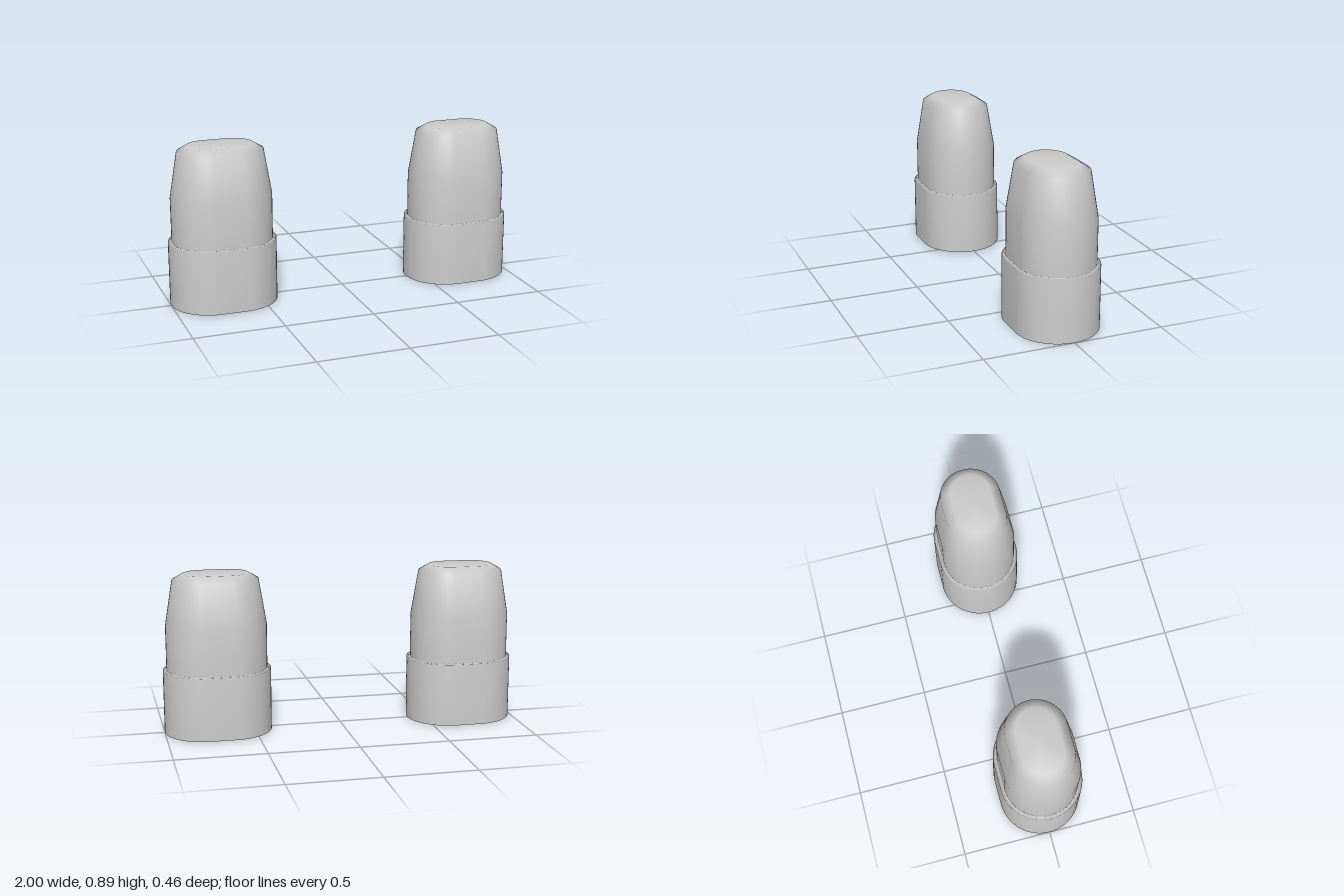
import * as THREE from 'three';

const SEGMENTS = 48;
const HALF_STRAIGHT = 0.07; // half length of the flat sides of the oval

const material = new THREE.MeshStandardMaterial({ color: 0xcccccc, side: THREE.DoubleSide });

// Lathe a profile of [radius, y], then pull its halves apart into a stadium-shaped oval
function ovalShell(name, profile) {
  const points = profile.map(([r, y]) => new THREE.Vector2(r, y));
  const geometry = new THREE.LatheGeometry(points, SEGMENTS, Math.PI / SEGMENTS);
  const pos = geometry.attributes.position;
  for (let i = 0; i < pos.count; i++) {
    const x = pos.getX(i);
    if (Math.abs(x) > 1e-6) pos.setX(i, x + Math.sign(x) * HALF_STRAIGHT);
  }
  const mesh = new THREE.Mesh(geometry, material);
  mesh.name = name;
  return mesh;
}

function createCappedTube(name) {
  const group = new THREE.Group();
  group.name = name;
  // wide sleeve, open below, with a narrow ledge on top
  group.add(ovalShell('sleeve', [[0.23, 0], [0.23, 0.354], [0.21, 0.354]]));
  // straight body that tapers to a bevelled, closed top
  group.add(ovalShell('taperedBody', [
    [0.21, 0.354], [0.21, 0.605], [0.168, 0.857], [0.112, 0.89], [0, 0.89],
  ]));
  return group;
}

export function createModel() {
  const model = new THREE.Group();
  model.name = 'pairOfCappedTubes';
  for (const side of [-1, 1]) {
    const tube = createCappedTube(side > 0 ? 'leftTube' : 'rightTube');
    tube.position.x = side * 0.7;
    model.add(tube);
  }
  return model;
}
